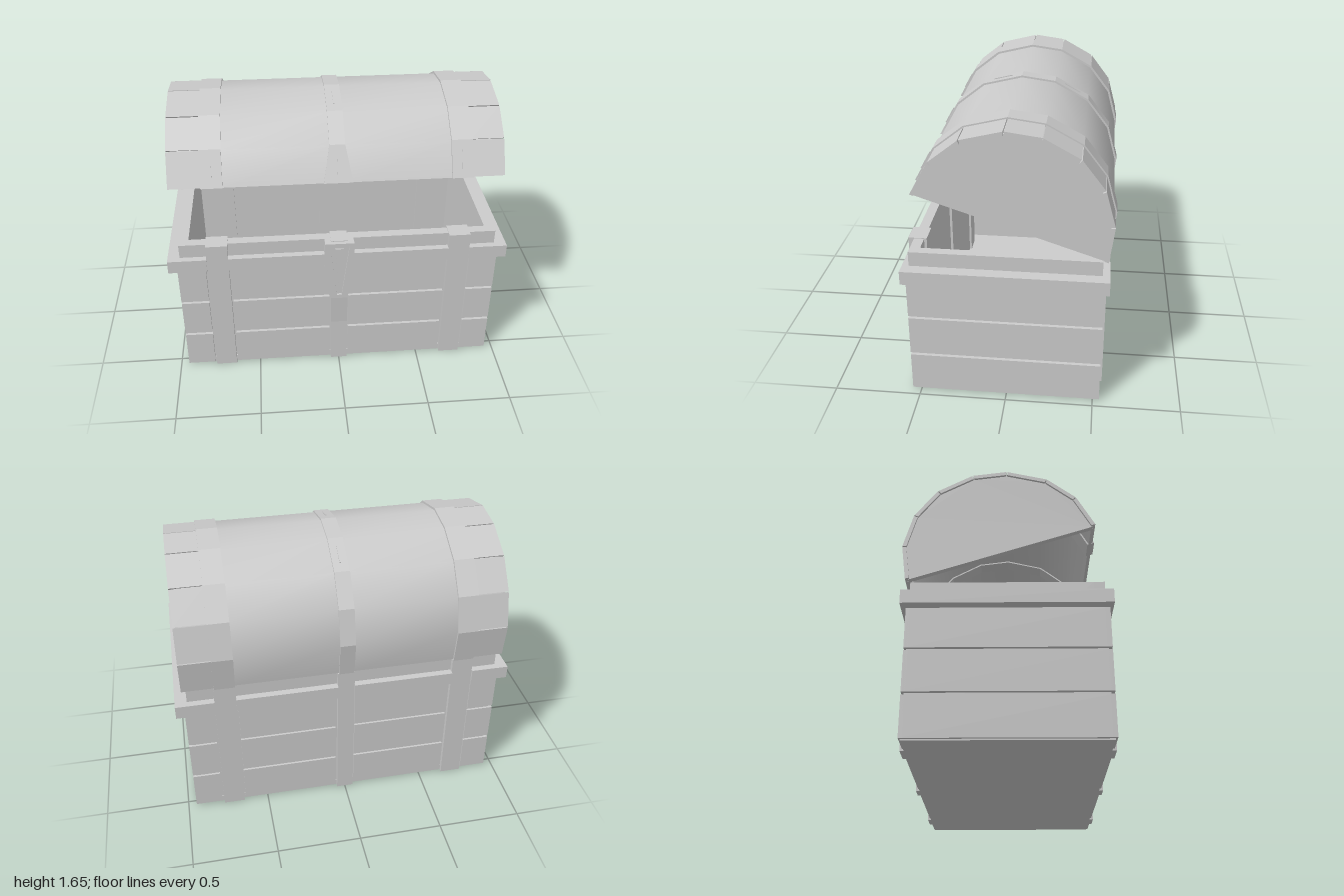
import * as THREE from 'three';
import { toCreasedNormals } from 'three/addons/utils/BufferGeometryUtils.js';

const flat = new THREE.MeshStandardMaterial({ color: 0xcccccc, flatShading: true });
const smooth = new THREE.MeshStandardMaterial({ color: 0xcccccc });

// Outer arch of the raised lid as [z, y], from front edge over the top to the hinge
const ARCH = [[0.505, 1.27], [0.4, 1.46], [0.235, 1.59], [0, 1.647], [-0.2, 1.62],
  [-0.4, 1.51], [-0.53, 1.34], [-0.587, 1.13], [-0.56, 0.915]];
const CZ = -0.028, CY = 1.092;
const arch = s => ARCH.map(([z, y]) => new THREE.Vector2(CZ + (z - CZ) * s, CY + (y - CY) * s));

function add(parent, name, geometry, material = flat) {
  const mesh = new THREE.Mesh(geometry, material);
  mesh.name = name;
  parent.add(mesh);
  return mesh;
}

// Box given by its limits
function box(parent, name, x0, x1, y0, y1, z0, z1) {
  const g = new THREE.BoxGeometry(x1 - x0, y1 - y0, z1 - z0);
  g.translate((x0 + x1) / 2, (y0 + y1) / 2, (z0 + z1) / 2);
  return add(parent, name, g);
}

// Extrude a (z, y) outline from x0 to x1
function across(points, x0, x1) {
  const g = new THREE.ExtrudeGeometry(new THREE.Shape(points), { depth: x1 - x0, bevelEnabled: false });
  return g.rotateY(-Math.PI / 2).translate(x1, 0, 0);
}

// Curved band of the lid between two scales of the arch
const band = (outer, inner, x0, x1) => across([...arch(outer), ...arch(inner).reverse()], x0, x1);

// Extrude a front-facing (x, y) outline from z0 to z1
function plate(points, z0, z1, hole) {
  const toV = p => p.map(([x, y]) => new THREE.Vector2(x, y));
  const shape = new THREE.Shape(toV(points));
  if (hole) shape.holes.push(new THREE.Path(toV(hole)));
  return new THREE.ExtrudeGeometry(shape, { depth: z1 - z0, bevelEnabled: false }).translate(0, 0, z0);
}

function editVertices(g, rule) {
  const p = g.attributes.position, v = new THREE.Vector3();
  for (let i = 0; i < p.count; i++) {
    rule(v.fromBufferAttribute(p, i));
    p.setXYZ(i, v.x, v.y, v.z);
  }
  g.computeVertexNormals();
  return g;
}

function buildBase() {
  const base = new THREE.Group();
  base.name = 'base';

  // Inner walls, which rise above the rim as a lip
  box(base, 'floor', -0.935, 0.935, 0, 0.04, -0.53, 0.54);
  box(base, 'frontWall', -0.93, 0.93, 0.01, 0.91, 0.475, 0.532);
  box(base, 'backWall', -0.93, 0.93, 0.01, 0.91, -0.525, -0.47);
  for (const s of [-1, 1]) {
    const x = [s * 0.93, s * 0.875].sort((a, b) => a - b);
    box(base, 'sideWall', x[0], x[1], 0.01, 0.91, -0.47, 0.475);
  }

  // Three rows of boards with grooves between rows and beside the straps
  const rows = [[0.008, 0.242], [0.258, 0.492], [0.507, 0.742]];
  const spans = [[-0.95, -0.785], [-0.64, -0.058], [0.058, 0.64], [0.785, 0.95]];
  for (const [y0, y1] of rows) {
    for (const [x0, x1] of spans) {
      box(base, 'frontBoard', x0, x1, y0, y1, 0.525, 0.551);
      box(base, 'backBoard', x0, x1, y0, y1, -0.538, -0.515);
    }
    for (const s of [-1, 1]) {
      const x = [s * 0.95, s * 0.92].sort((a, b) => a - b);
      box(base, 'sideBoard', x[0], x[1], y0, y1, -0.53, 0.542);
    }
  }

  // Projecting rim, interrupted by the straps
  const rims = [[-0.95, -0.775], [-0.65, -0.05], [0.05, 0.65], [0.775, 0.95]];
  for (const [x0, x1] of rims) {
    box(base, 'frontRim', x0, x1, 0.745, 0.825, 0.52, 0.57);
    box(base, 'backRim', x0, x1, 0.745, 0.825, -0.566, -0.515);
  }
  box(base, 'leftRim', 0.92, 1, 0.745, 0.825, -0.566, 0.57);
  box(base, 'rightRim', -1, -0.92, 0.745, 0.825, -0.566, 0.57);

  // Straps folded over the lip
  for (const [x, w] of [[-0.712, 0.063], [0, 0.05], [0.712, 0.063]]) {
    box(base, 'frontStrap', x - w, x + w, 0, 0.914, 0.46, 0.564);
    box(base, 'backStrap', x - w, x + w, 0, 0.914, -0.552, -0.455);
  }

  // Latch: tapered backing, V-shaped frame and key plate
  const backing = plate([[-0.09, 0.74], [-0.05, 0.5], [-0.05, 0.3], [0.05, 0.3], [0.05, 0.5],
    [0.09, 0.74], [0.085, 0.91], [-0.085, 0.91]], 0.52, 0.578);
  editVertices(backing, v => { if (v.y < 0.4 && v.z > 0.55) v.z = 0.565; });
  add(base, 'latchBacking', backing);
  add(base, 'latchFrame', plate([[-0.03, 0.51], [0.03, 0.51], [0.085, 0.912], [-0.085, 0.912]], 0.57, 0.592,
    [[-0.014, 0.535], [-0.058, 0.89], [0.058, 0.89], [0.014, 0.535]]));
  add(base, 'keyPlate', plate([[-0.004, 0.62], [0.004, 0.62], [0.026, 0.87], [-0.026, 0.87]], 0.57, 0.586));
  return base;
}

function buildLid() {
  const lid = new THREE.Group();
  lid.name = 'lid';

  // Hollow curved shell and its smooth middle boards
  add(lid, 'lidShell', toCreasedNormals(band(0.965, 0.94, -0.925, 0.925), 0.7), smooth);
  for (const s of [-1, 1]) {
    const x = [s * 0.04, s * 0.655].sort((a, b) => a - b);
    add(lid, 'lidBoard', toCreasedNormals(band(0.976, 0.95, x[0], x[1]), 0.7), smooth);

    // Faceted end boards, one per face of the arch
    const e = [s * 0.765, s * 0.955].sort((a, b) => a - b);
    const outer = arch(0.985), inner = arch(0.945);
    for (let i = 0; i < outer.length - 1; i++) {
      const at = (list, t) => list[i].clone().lerp(list[i + 1], t);
      add(lid, 'endBoard', across(
        [at(outer, 0.015), at(outer, 0.985), at(inner, 0.985), at(inner, 0.015)], e[0], e[1]));
    }

    // Slightly recessed end panel
    const c = [s * 0.942, s * 0.91].sort((a, b) => a - b);
    add(lid, 'endPanel', across(arch(0.955), c[0], c[1]));

    // Broad side strap
    const b = [s * 0.65, s * 0.772].sort((a, b2) => a - b2);
    add(lid, 'sideLidStrap', band(1, 0.925, b[0], b[1]));
  }

  // Narrow middle strap flaring out at the front edge
  add(lid, 'middleLidStrap', editVertices(band(0.996, 0.925, -0.045, 0.045),
    v => { if (v.z > 0.42) v.x *= 1.85; }));

  // Thin raised ridges on the straps
  for (const [x, i] of [[-0.712, 0], [0.712, 0], [0, 0], [0, 2], [0, 4]]) {
    const [a, b] = [ARCH[i], ARCH[i + 1]];
    const ridge = add(lid, 'strapRidge', new THREE.BoxGeometry(0.008, 0.012, 0.11));
    ridge.position.set(x, (a[1] + b[1]) / 2 - 0.003, (a[0] + b[0]) / 2);
    ridge.rotation.x = Math.atan2(b[1] - a[1], a[0] - b[0]);
  }
  return lid;
}

export function createModel() {
  const chest = new THREE.Group();
  chest.name = 'chest';
  chest.add(buildBase(), buildLid());
  return chest;
}
